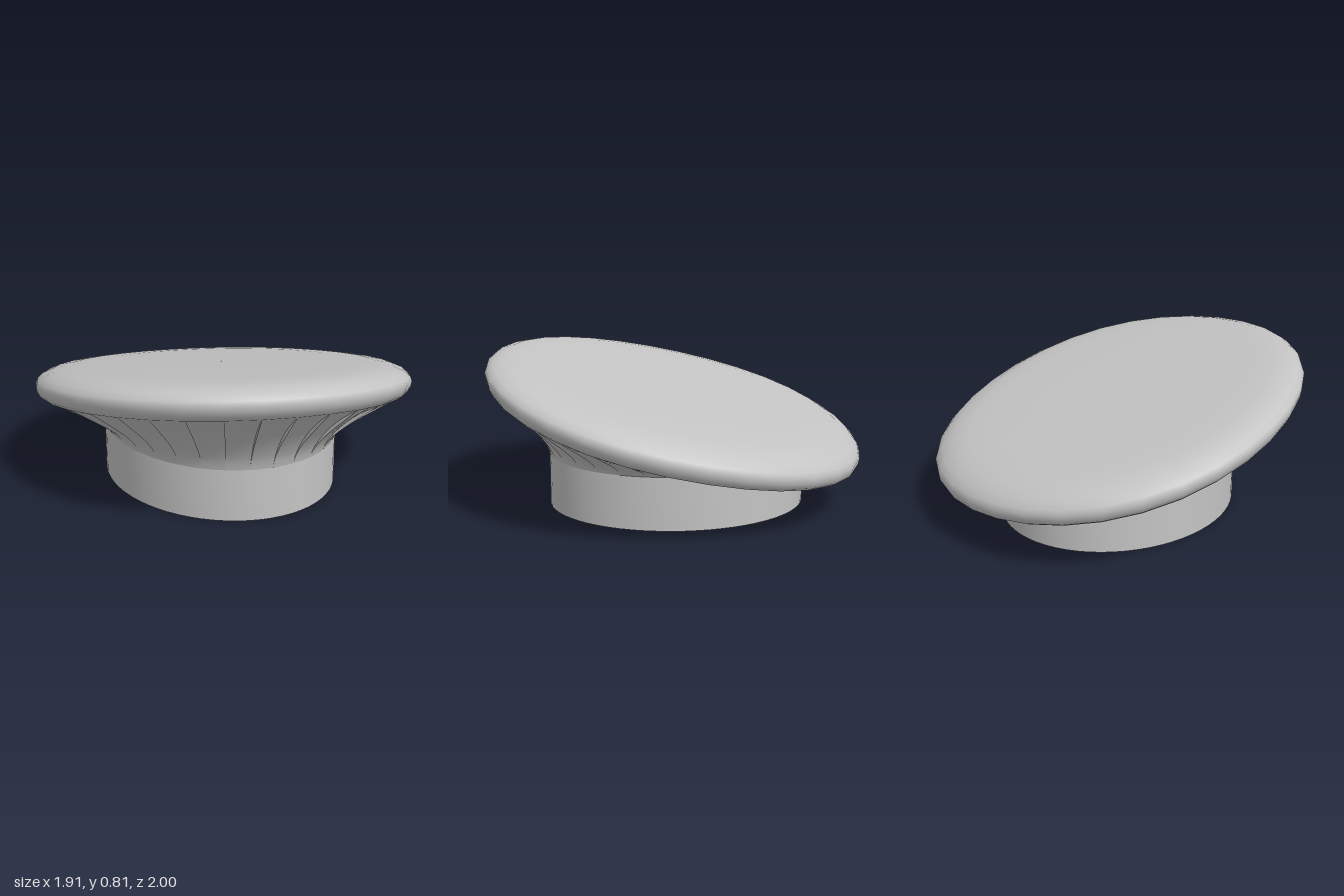
import * as THREE from 'three';

const SEG = 32;
const grey = new THREE.MeshStandardMaterial({ color: 0xc4c4c4 });
grey.name = 'plain grey';
const greyBothSides = grey.clone();
greyBothSides.side = THREE.DoubleSide;

// Height of the cap's tilted middle plane
const tilt = (x, z) => 0.515 + 0.215 * z - 0.115 * x;

// Oval neck point at angle a (0 = front), radius scale s, height y
const neckPoint = (a, s, y) =>
  new THREE.Vector3(-0.007 + 0.593 * s * Math.sin(a), y, -0.015 + 0.685 * s * Math.cos(a));

// Point inside the neck; f runs from the floor (0) to the sloping ceiling (1)
const cavityPoint = (a, s, f) => {
  const p = neckPoint(a, s, 0);
  p.y = f * (tilt(p.x, p.z) + 0.03);
  return p;
};

// Point on the slightly skewed oval cap, offset h from its middle plane
const discPoint = (a, s, h) => {
  const q = Math.sin(2 * a);
  const r = s * (1 + 0.02 * q * q + 0.013 * q);
  const x = 0.957 * r * Math.sin(a), z = r * Math.cos(a);
  return new THREE.Vector3(x, tilt(x, z) + h, z);
};

// Surface from a grid of points; columns run around, rows run down the outside
function grid(cols, rows, point, wrap) {
  const pos = [], index = [];
  const n = wrap ? cols : cols + 1;
  for (let j = 0; j <= rows; j++)
    for (let i = 0; i < n; i++) pos.push(...point(i / cols, j).toArray());
  for (let j = 0; j < rows; j++)
    for (let i = 0; i < cols; i++) {
      const k = (i + 1) % n;
      const a = j * n + i, b = a + n, c = (j + 1) * n + k, d = j * n + k;
      index.push(a, b, c, a, c, d);
    }
  const g = new THREE.BufferGeometry();
  g.setAttribute('position', new THREE.Float32BufferAttribute(pos, 3));
  g.setIndex(index);
  g.computeVertexNormals();
  return g;
}

// Ring surface swept around from a short profile
const sweep = (profile, place, cols) =>
  grid(cols, profile.length - 1, (t, j) => place(t * Math.PI * 2, ...profile[j]), true);

export function createModel() {
  const model = new THREE.Group();
  model.name = 'tiltedKnob';
  const add = (name, geometry, material = grey, parent = model) => {
    const mesh = new THREE.Mesh(geometry, material);
    mesh.name = name;
    parent.add(mesh);
  };

  // Tilted cap with a rounded rim
  add('cap', sweep([
    [0.001, 0.102], [0.4, 0.101], [0.7, 0.098], [0.82, 0.092], [0.9, 0.08], [0.96, 0.054],
    [0.99, 0.025], [1, 0], [0.995, -0.03], [0.98, -0.058], [0.955, -0.077], [0.925, -0.087],
  ], discPoint, SEG));

  // Hollow oval neck, open below and reaching up to the cap
  add('neckWall', sweep([[1, 0.28], [1, 0]], neckPoint, 64));
  add('neckBottomRing', sweep([[1, 0], [0.91, 0]], neckPoint, 64));
  add('cavityWall', sweep([[0.91, 0], [0.91, 1]], cavityPoint, 64));
  add('cavityCeiling', sweep([[0.91, 1], [0.001, 1]], cavityPoint, 64));

  // Flare between neck and rim: overlapping panels, each raised along one edge
  const flare = new THREE.Group();
  flare.name = 'flare';
  model.add(flare);
  const ROWS = 10;
  const flarePoint = (a, u, lift) => {
    const low = neckPoint(a, 1, 0.28), high = discPoint(a, 0.94, -0.08);
    const k = Math.pow(u, 1.45);
    const bump = lift * Math.sin(Math.PI * Math.pow(u, 1.5));
    return new THREE.Vector3(
      THREE.MathUtils.lerp(low.x, high.x, k) + 0.6 * bump * Math.sin(a),
      THREE.MathUtils.lerp(low.y, high.y, u) - 0.8 * bump,
      THREE.MathUtils.lerp(low.z, high.z, k) + 0.6 * bump * Math.cos(a));
  };
  const LIFT = 0.018;
  for (let p = 0; p < SEG; p++) {
    const a0 = (p / SEG) * Math.PI * 2, da = (Math.PI * 2) / SEG;
    add('flarePanel', grid(2, ROWS,
      (t, j) => flarePoint(a0 + t * da, 1 - j / ROWS, LIFT * (0.5 - t))), grey, flare);
    add('flareStep', grid(1, ROWS,
      (t, j) => flarePoint(a0, 1 - j / ROWS, LIFT * (t - 0.5))), greyBothSides, flare);
  }
  return model;
}
